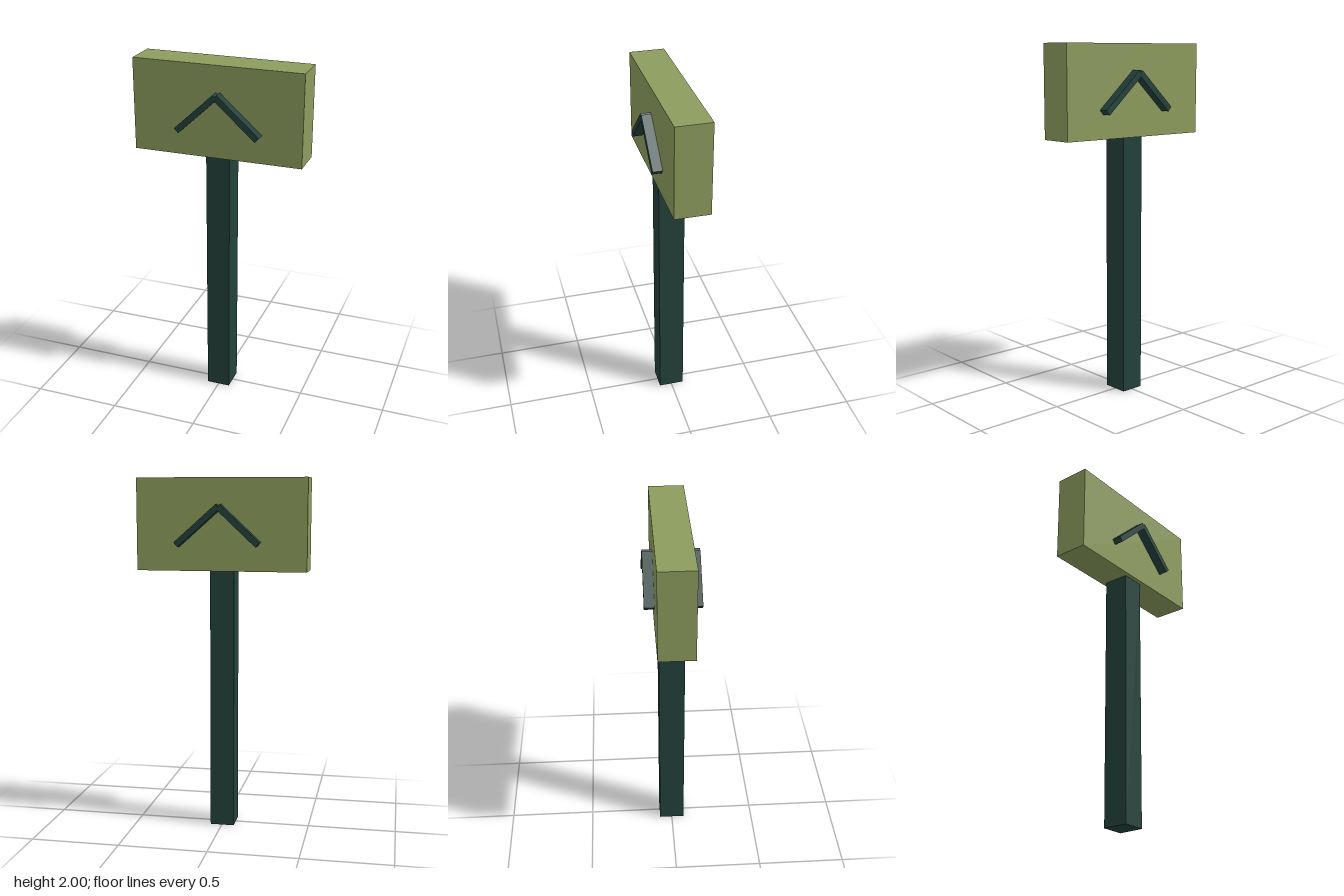
import * as THREE from 'three';

export function createModel() {
  const model = new THREE.Group();
  model.name = 'signpost';

  const darkGreen = new THREE.MeshStandardMaterial({ color: 0x23413b });
  darkGreen.name = 'dark green';
  const olive = new THREE.MeshStandardMaterial({ color: 0x8c9c5d });
  olive.name = 'olive green';

  function addBox(name, size, position, material, tilt = 0) {
    const mesh = new THREE.Mesh(new THREE.BoxGeometry(...size), material);
    mesh.name = name;
    mesh.position.set(...position);
    mesh.rotation.z = tilt;
    model.add(mesh);
  }

  // Square post and the board on top of it
  addBox('post', [0.136, 1.486, 0.147], [-0.002, 0.743, 0], darkGreen);
  addBox('board', [0.96, 0.515, 0.198], [0, 1.7425, 0], olive);

  // Arrow bars run through the board and stand out on both faces
  const deg = Math.PI / 180;
  addBox('arrowBarRight', [0.303, 0.034, 0.307], [-0.102, 1.738, -0.001], darkGreen, 43 * deg);
  addBox('arrowBarLeft', [0.317, 0.034, 0.307], [0.127, 1.737, -0.001], darkGreen, -41.5 * deg);

  return model;
}
